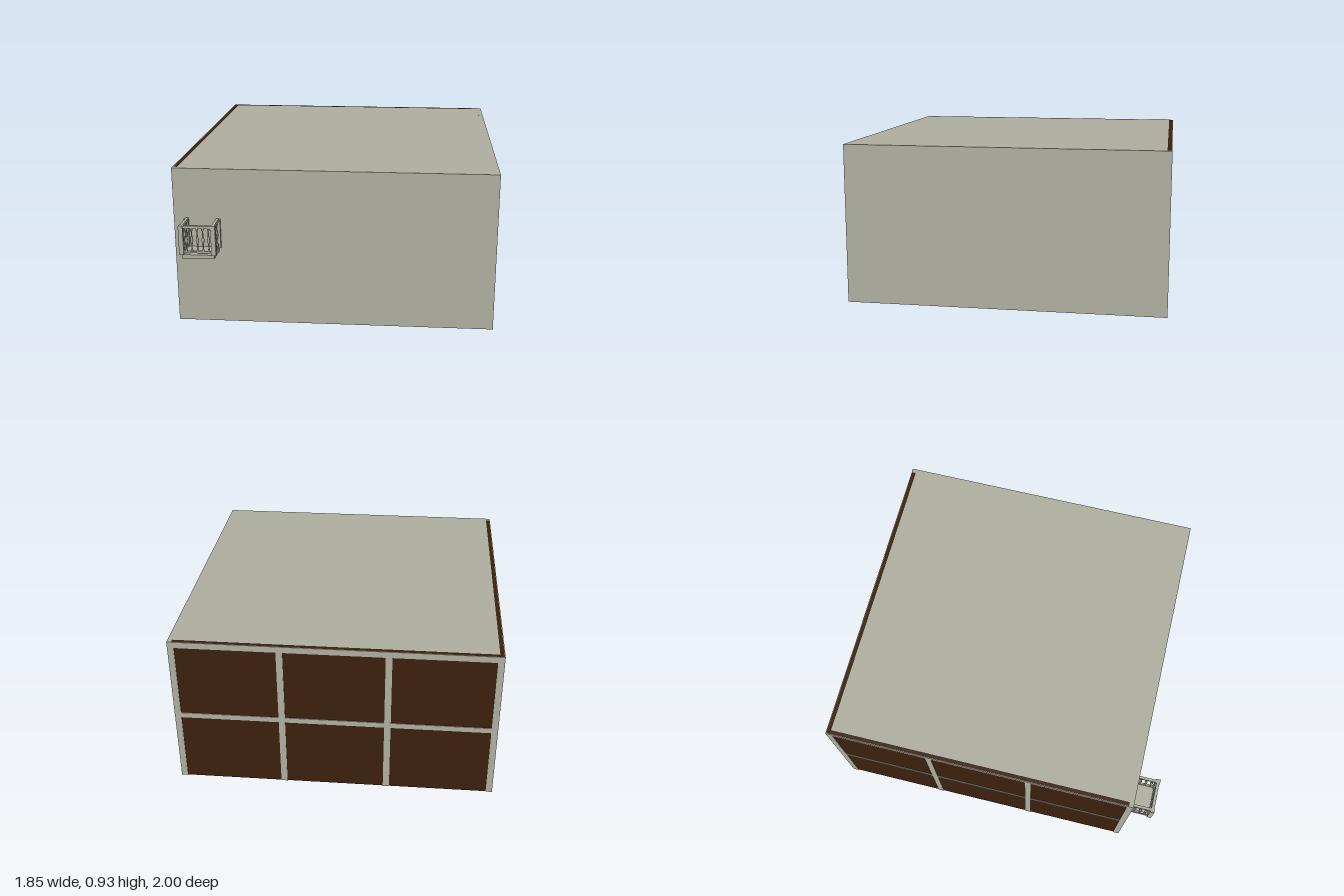
import * as THREE from 'three';

export function createModel() {
  const model = new THREE.Group();
  const stone = new THREE.MeshStandardMaterial({ color: 0xaeaea0 });
  stone.name = 'warm grey';
  const brown = new THREE.MeshStandardMaterial({ color: 0x3b200c });
  brown.name = 'dark brown';

  // Box given by its limits on each axis
  function box(parent, name, mat, [x0, x1], [y0, y1], [z0, z1]) {
    const mesh = new THREE.Mesh(new THREE.BoxGeometry(x1 - x0, y1 - y0, z1 - z0), mat);
    mesh.position.set((x0 + x1) / 2, (y0 + y1) / 2, (z0 + z1) / 2);
    mesh.name = name;
    parent.add(mesh);
    return mesh;
  }

  const X = 0.923, H = 0.93, BACK = -1, FRONT = 0.85, T = 0.027, LIP = 0.004;

  // Hollow shell: two solid walls and the roof, open underneath
  const shell = new THREE.Group();
  shell.name = 'shell';
  model.add(shell);
  box(shell, 'frontWall', stone, [-X, X], [0, H], [FRONT - T, FRONT]);
  box(shell, 'rightWall', stone, [X - T, X], [0, H], [BACK, FRONT - T]);
  box(shell, 'roof', stone, [-X + T, X - T], [H - T, H], [BACK + T, FRONT - T]);

  // Two brown panelled walls
  box(shell, 'backPanel', brown, [-X + LIP, X - T], [0, H], [BACK + LIP, BACK + T]);
  box(shell, 'sidePanel', brown, [-X + LIP, -X + T], [0, H], [BACK + T, FRONT - T]);

  // Grid of three by two panes: four posts and two bars over each panel
  const BAR = 0.037;
  function grid(name, lo, hi, place) {
    const frame = new THREE.Group();
    frame.name = name;
    model.add(frame);
    for (let i = 0; i < 4; i++) {
      const a = lo + (hi - lo - BAR) * i / 3;
      place(frame, 'post', [a, a + BAR], [0, H]);
    }
    for (const [y0, y1] of [[0.425, 0.457], [H - BAR, H]]) {
      place(frame, 'bar', [lo, hi], [y0, y1]);
    }
  }
  grid('backFrame', -X, X, (g, n, along, y) => box(g, n, stone, along, y, [BACK, BACK + LIP]));
  grid('sideFrame', BACK, FRONT, (g, n, along, y) => box(g, n, stone, [-X, -X + LIP], y, along));

  // Small balcony on the front wall
  const balcony = new THREE.Group();
  balcony.name = 'balcony';
  model.add(balcony);
  const CX = -0.758, W = 0.105, Z1 = 0.999;
  box(balcony, 'floor', stone, [CX - 0.093, CX + 0.093], [0.44, 0.463], [FRONT, 0.99]);

  // Slender turned baluster with a swelling in the middle
  const profile = [
    [0.006, 0], [0.006, 0.008], [0.003, 0.018], [0.004, 0.04], [0.009, 0.066],
    [0.004, 0.092], [0.003, 0.118], [0.007, 0.126], [0.006, 0.138],
  ].map(([r, y]) => new THREE.Vector2(r, y));
  const turned = new THREE.LatheGeometry(profile, 10);
  function baluster(x, z) {
    const mesh = new THREE.Mesh(turned, stone);
    mesh.position.set(x, 0.484, z);
    mesh.name = 'baluster';
    balcony.add(mesh);
  }

  // Posts, rails and balusters of both sides
  for (const s of [-1, 1]) {
    const span = (inner, outer) => [CX + s * inner, CX + s * outer].sort((a, b) => a - b);
    box(balcony, 'frontPost', stone, span(W - 0.026, W), [0.463, 0.632], [Z1 - 0.026, Z1]);
    box(balcony, 'wallPost', stone, span(W - 0.026, W), [0.463, 0.632], [FRONT, FRONT + 0.017]);
    box(balcony, 'sideTopRail', stone, span(W - 0.024, W - 0.008), [0.62, 0.636], [FRONT, Z1 - 0.01]);
    box(balcony, 'sideLowRail', stone, span(W - 0.022, W - 0.01), [0.474, 0.485], [FRONT, Z1 - 0.01]);
    for (const z of [0.887, 0.921, 0.955]) baluster(CX + s * (W - 0.016), z);
  }

  // Front railing
  box(balcony, 'frontTopRail', stone, [CX - W + 0.002, CX + W - 0.002], [0.62, 0.636], [Z1 - 0.022, Z1 - 0.004]);
  box(balcony, 'frontLowRail', stone, [CX - W + 0.02, CX + W - 0.02], [0.474, 0.485], [Z1 - 0.02, Z1 - 0.007]);
  for (let i = -2; i <= 2; i++) baluster(CX + i * 0.032, Z1 - 0.0135);

  return model;
}
